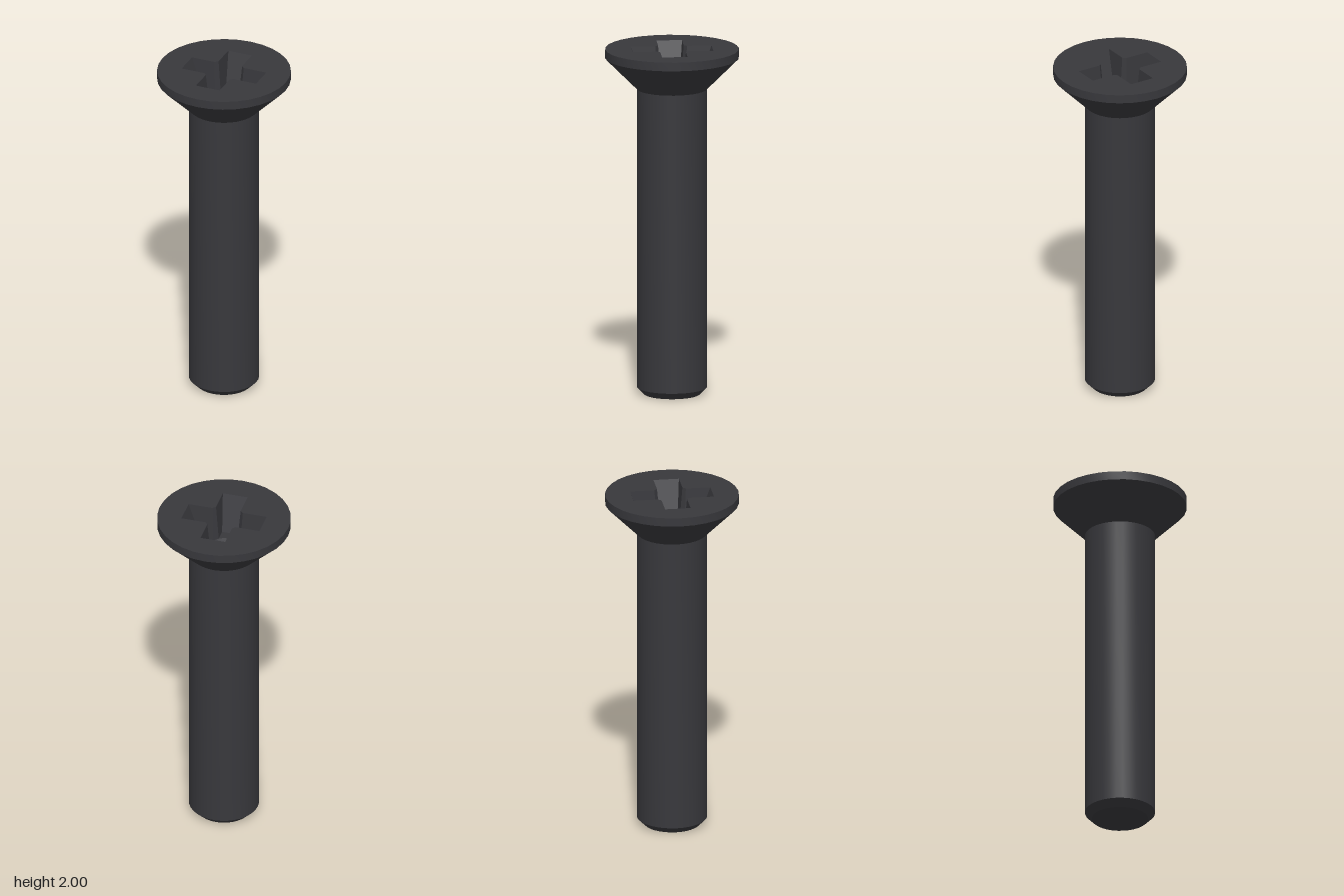
import * as THREE from 'three';
import { toCreasedNormals } from 'three/addons/utils/BufferGeometryUtils.js';

const SIDES = 32, TOP = 2, FLOOR = 1.79, TIP = 1.74, HEAD_R = 0.38;
const v2 = (x, y) => new THREE.Vector2(x, y);

// Cross outline, counter-clockwise: arm length, half width, start of the arm beside the corner chamfer
function crossOutline(length, half, inner) {
  const points = [];
  for (let i = 0; i < 4; i++) {
    for (const [x, y] of [[inner, -half], [length, -half], [length, half], [inner, half]]) {
      points.push(v2(x, y).rotateAround(v2(0, 0), i * Math.PI / 2));
    }
  }
  return points;
}

// Flat horizontal face at a given height
function flatFace(shape, y) {
  return new THREE.ShapeGeometry(shape).rotateX(-Math.PI / 2).translate(0, y, 0);
}

function lathe(points) {
  const g = new THREE.LatheGeometry(points.map(([r, y]) => v2(r, y)), SIDES);
  return toCreasedNormals(g, 0.5);
}

export function createModel() {
  const group = new THREE.Group();
  const material = new THREE.MeshStandardMaterial({ color: 0x38383c });
  const add = (name, geometry, parent = group) => {
    const mesh = new THREE.Mesh(geometry, material);
    mesh.name = name;
    parent.add(mesh);
    return mesh;
  };

  // Chamfered shaft and countersunk head
  add('shaftAndHead', lathe([
    [0, 0], [0.16, 0], [0.2, 0.04], [0.2, 1.77], [HEAD_R, 1.95], [HEAD_R, TOP],
  ]));

  // Head face with cross-shaped opening
  const upper = crossOutline(0.23, 0.073, 0.09);
  const lower = crossOutline(0.15, 0.054, 0.08);
  const rim = [];
  for (let i = 0; i < SIDES; i++) {
    const a = i / SIDES * Math.PI * 2;
    rim.push(v2(HEAD_R * Math.cos(a), HEAD_R * Math.sin(a)));
  }
  const face = new THREE.Shape(rim);
  face.holes.push(new THREE.Path(upper));
  add('headFace', flatFace(face, TOP));

  const recess = new THREE.Group();
  recess.name = 'crossRecess';
  group.add(recess);

  // Tapered recess walls
  const positions = [];
  const put = (p, y) => positions.push(p.x, y, -p.y);
  upper.forEach((p, i) => {
    const j = (i + 1) % upper.length;
    put(p, TOP); put(upper[j], TOP); put(lower[j], FLOOR);
    put(p, TOP); put(lower[j], FLOOR); put(lower[i], FLOOR);
  });
  const walls = new THREE.BufferGeometry();
  walls.setAttribute('position', new THREE.Float32BufferAttribute(positions, 3));
  walls.computeVertexNormals();
  add('recessWalls', walls, recess);

  // Arm floors, curved where they meet the central pit
  const pitR = Math.hypot(0.08, 0.054), spread = Math.atan2(0.054, 0.08);
  for (let i = 0; i < 4; i++) {
    const arm = new THREE.Shape();
    arm.moveTo(0.15, -0.054);
    arm.lineTo(0.15, 0.054);
    arm.absarc(0, 0, pitR, spread, -spread, true);
    add('armFloor', flatFace(arm, FLOOR), recess).rotation.y = i * Math.PI / 2;
  }

  // Conical pit at the centre
  add('centrePit', lathe([[pitR, FLOOR], [0, TIP]]), recess);

  return group;
}
